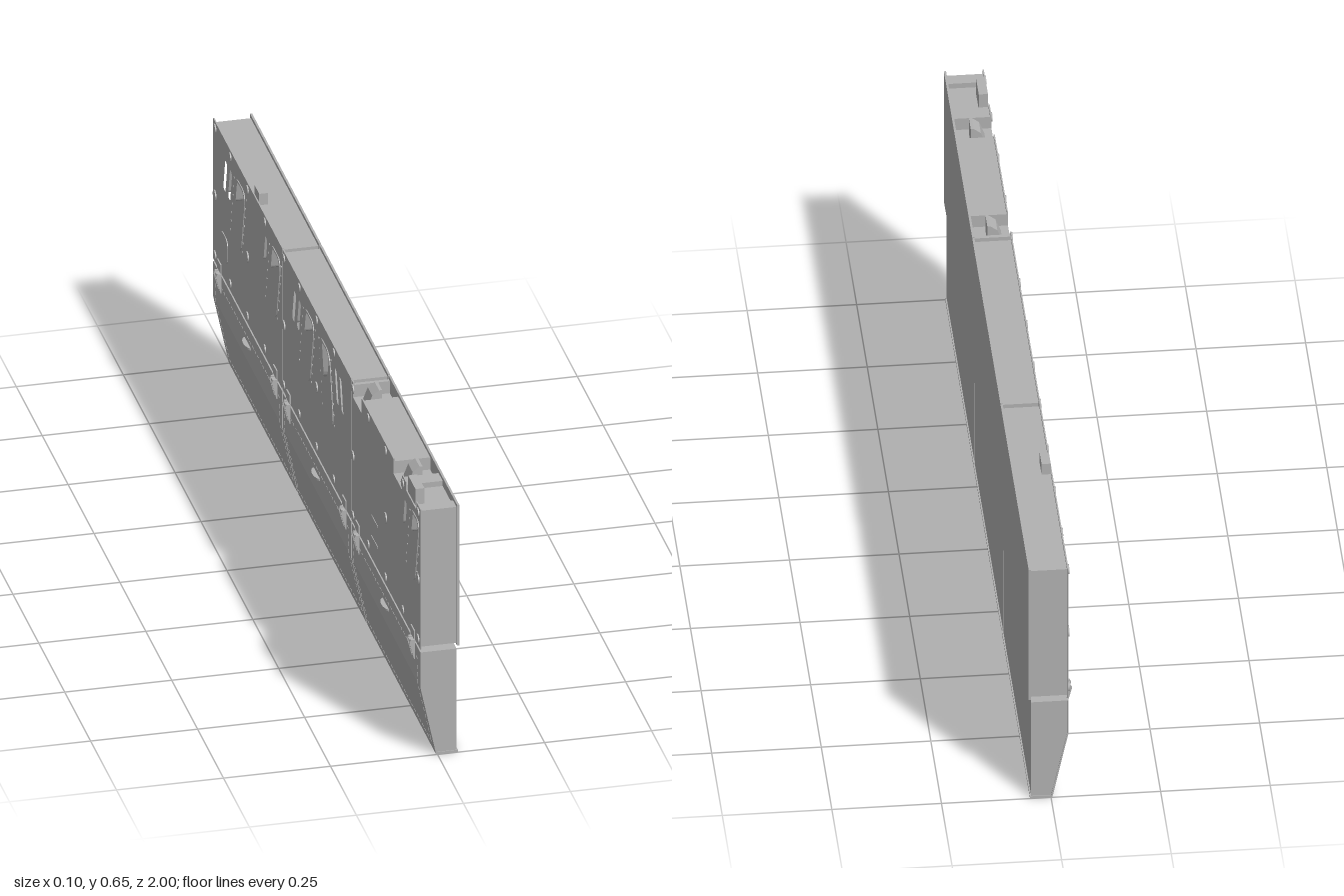
import * as THREE from 'three';
import { mergeGeometries } from 'three/addons/utils/BufferGeometryUtils.js';

const grey = new THREE.MeshStandardMaterial({ color: 0xb2b2b2 });
grey.name = 'plain grey';

const PANEL = 2 / 3;
const SLOPE = 0.208;

// Outline of a leaning slot with rounded corners, in (z, y)
function slot(zc, yc, w, h, lean) {
  const r = Math.min(w, h) * 0.3, pts = [];
  [[1, 1], [-1, 1], [-1, -1], [1, -1]].forEach(([sx, sy], q) => {
    for (let i = 0; i <= 4; i++) {
      const a = (q + i / 4) * Math.PI / 2;
      const dy = sy * (h / 2 - r) + r * Math.sin(a);
      pts.push([zc + sx * (w / 2 - r) + r * Math.cos(a) + lean * dy, yc + dy]);
    }
  });
  return pts;
}

// Plate outlined in (z, y) and thickened from x0 to x1
function plate(outline, holes, x0, x1) {
  const v = (p) => p.map(([z, y]) => new THREE.Vector2(-z, y));
  const shape = new THREE.Shape(v(outline));
  holes.forEach((h) => shape.holes.push(new THREE.Path(v(h))));
  const g = new THREE.ExtrudeGeometry(shape, { depth: x1 - x0, bevelEnabled: false });
  return g.rotateY(Math.PI / 2).translate(x0, 0, 0);
}

// Cross-section in (x, y) drawn out from z0 to z1
function bar(profile, z0, z1) {
  const shape = new THREE.Shape(profile.map(([x, y]) => new THREE.Vector2(x, y)));
  return new THREE.ExtrudeGeometry(shape, { depth: z1 - z0, bevelEnabled: false }).translate(0, 0, z0);
}

function box(x0, x1, y0, y1, z0, z1) {
  return new THREE.BoxGeometry(x1 - x0, y1 - y0, z1 - z0)
    .translate((x0 + x1) / 2, (y0 + y1) / 2, (z0 + z1) / 2);
}

// Round head standing on the outer skin
function stud(z, y, r, h, sides) {
  return new THREE.CylinderGeometry(r, r, h, sides).rotateZ(Math.PI / 2).translate(-0.04 - h / 2, y, z);
}

// Rectangle in (z, y) whose top edge is cut by notches [z0, z1, floor]
function notched(z0, z1, y0, y1, notches) {
  const pts = [[z0, y0], [z1, y0], [z1, y1]];
  [...notches].reverse().forEach(([a, b, f]) => pts.push([b, y1], [b, f], [a, f], [a, y1]));
  return [...pts, [z0, y1]];
}

export function createModel() {
  const model = new THREE.Group();
  model.name = 'panelWall';
  const add = (name, geos) => {
    const list = [geos].flat().map((g) => (g.index ? g.toNonIndexed() : g));
    const mesh = new THREE.Mesh(mergeGeometries(list), grey);
    mesh.name = name;
    model.add(mesh);
  };

  // Grip pockets [z, width, lean, side of the vents]
  const pockets = [
    [-0.755, 0.09, 0.24, -1], [-0.415, 0.09, 0.24, -1], [-0.09, 0.09, 0.24, -1],
    [0.098, 0.09, -0.24, 1], [0.932, 0.072, 0.24, -1],
  ];
  const notches = [[0.35, 0.43, 0.592], [0.74, 0.82, 0.592], [0.86, 0.96, 0.61]];

  const frames = [], rivets = [];
  for (let i = 0; i < 3; i++) {
    const z0 = -1 + i * PANEL, z1 = z0 + PANEL;
    const a = z0 + (i ? 0.002 : 0), b = z1 - (i < 2 ? 0.002 : 0);
    const cuts = i === 2 ? notches : [];
    const holes = [];
    pockets.filter((p) => p[0] > z0 && p[0] < z1).forEach(([z, w, lean, side]) => {
      holes.push(slot(z, 0.505, w, 0.165, lean));
      [0.088, 0.134].forEach((d) => holes.push(slot(z + side * d, 0.537, 0.032, 0.085, lean)));
      frames.push(plate(slot(z, 0.505, w + 0.01, 0.175, lean), [slot(z, 0.505, w, 0.165, lean)], -0.042, -0.04));
      // Rivets beside the pocket
      for (let k = -3; k <= 3; k++) {
        [-1, 1].forEach((s) => {
          const rz = z + s * (w / 2 + 0.013) + lean * k * 0.025;
          if (rz < 0.99) rivets.push(stud(rz, 0.505 + k * 0.025, 0.003, 0.0015, 6));
        });
      }
    });

    // Upper panel
    add('upperFrontSkin', box(0.046, 0.051, 0.272, 0.631, a, b));
    add('upperBackSkin', plate(notched(a, b, 0.272, 0.63, cuts), holes, -0.04, -0.037));
    add('upperCorePocketed', plate(notched(z0 + 0.007, z1 - 0.007, 0.276, 0.623, cuts), holes, -0.037, 0));
    add('upperCoreSolid', plate(notched(z0 + 0.007, z1 - 0.007, 0.276, 0.623, cuts), [], 0, 0.046));

    // Lower panel with its tapered back
    const la = z0 + (i ? 0.005 : 0), lb = z1 - (i < 2 ? 0.005 : 0);
    add('lowerCore', bar([[-0.037, 0.264], [-0.037, 0.175], [0, 0.004], [0.045, 0.004], [0.045, 0.264]], la + 0.002, lb - 0.002));
    add('lowerBackSkin', bar([[-0.04, 0.265], [-0.04, 0.175], [-0.003, 0], [0.001, 0], [-0.037, 0.176], [-0.037, 0.265]], la, lb));
    add('bottomRail', box(-0.002, 0.048, 0, 0.006, la, lb));
  }
  add('pocketFrames', frames);
  add('pocketRivets', rivets);

  // Bolts in three rows
  const bolts = [];
  for (let k = 0; k <= 12; k++) {
    const z = THREE.MathUtils.clamp(-1 + k / 6, -0.98, 0.98) + (k === 4 || k === 8 ? 0.018 : 0);
    bolts.push(stud(z, 0.614, 0.011, 0.003, 12), stud(z, 0.291, 0.011, 0.003, 12));
    if (k % 2 === 0) bolts.push(stud(z, 0.443, 0.013, 0.003, 12));
  }
  add('bolts', bolts);

  // Latches across the joint: two cheeks, a pin and a keeper
  const latches = [];
  [-0.935, -0.395, -0.268, 0.272, 0.4, 0.933].forEach((z) => {
    [-0.014, 0.008].forEach((d) => latches.push(
      bar([[-0.027, 0.27], [-0.049, 0.271], [-0.053, 0.264], [-0.042, 0.222], [-0.036, 0.222], [-0.036, 0.263], [-0.027, 0.263]], z + d, z + d + 0.006)));
    latches.push(box(-0.05, -0.03, 0.262, 0.268, z - 0.014, z + 0.014));
    latches.push(box(-0.043, -0.039, 0.274, 0.296, z - 0.017, z + 0.017));
  });
  add('latches', latches);

  // Half-round pull handles
  add('pullHandles', [-PANEL, 0, PANEL].map((z) =>
    new THREE.CylinderGeometry(0.03, 0.03, 0.005, 16, 1, false, Math.PI, Math.PI)
      .scale(0.4, 1, 1).translate(-0.039, 0.221, z)));

  // Stitched seams on the lower back
  const dashes = [];
  const dash = (z, y, long, tall) => {
    const flat = y > 0.175;
    const x = flat ? -0.04 : -0.04 + 0.037 * (0.175 - y) / 0.175;
    const g = new THREE.BoxGeometry(0.002, tall, long);
    if (!flat) g.rotateZ(SLOPE);
    dashes.push(g.translate(x, y, z));
  };
  for (let i = -1; i <= 1; i++) {
    for (let k = -12; k <= 12; k++) {
      dash(i * PANEL + k * 0.025, 0.236, 0.012, 0.003);
      dash(i * PANEL + k * 0.025, 0.022, 0.012, 0.003);
    }
    for (let y = 0.035; y < 0.23; y += 0.018) {
      [-0.308, 0.308].forEach((d) => dash(i * PANEL + d, y, 0.003, 0.009));
    }
  }
  add('seamStitches', dashes);

  // Small service plate and marking strips
  add('servicePlate', plate(slot(-0.89, 0.355, 0.07, 0.065, 0), [slot(-0.89, 0.355, 0.056, 0.051, 0)], -0.042, -0.04));
  add('markingStrips', [0.378, 0.325].map((y) => box(-0.0415, -0.04, y, y + 0.005, 0.53, 0.59)));

  // Top tabs and the wedges set in the notches
  add('topTabs', [box(-0.037, -0.016, 0.605, 0.652, 0.87, 0.94), box(-0.037, -0.016, 0.615, 0.652, -0.612, -0.568)]);
  add('notchWedges', [0.39, 0.78].map((z) =>
    bar([[-0.022, 0.592], [0.013, 0.592], [0.013, 0.635], [0.006, 0.635], [-0.01, 0.623]], z - 0.022, z + 0.022)));

  return model;
}
